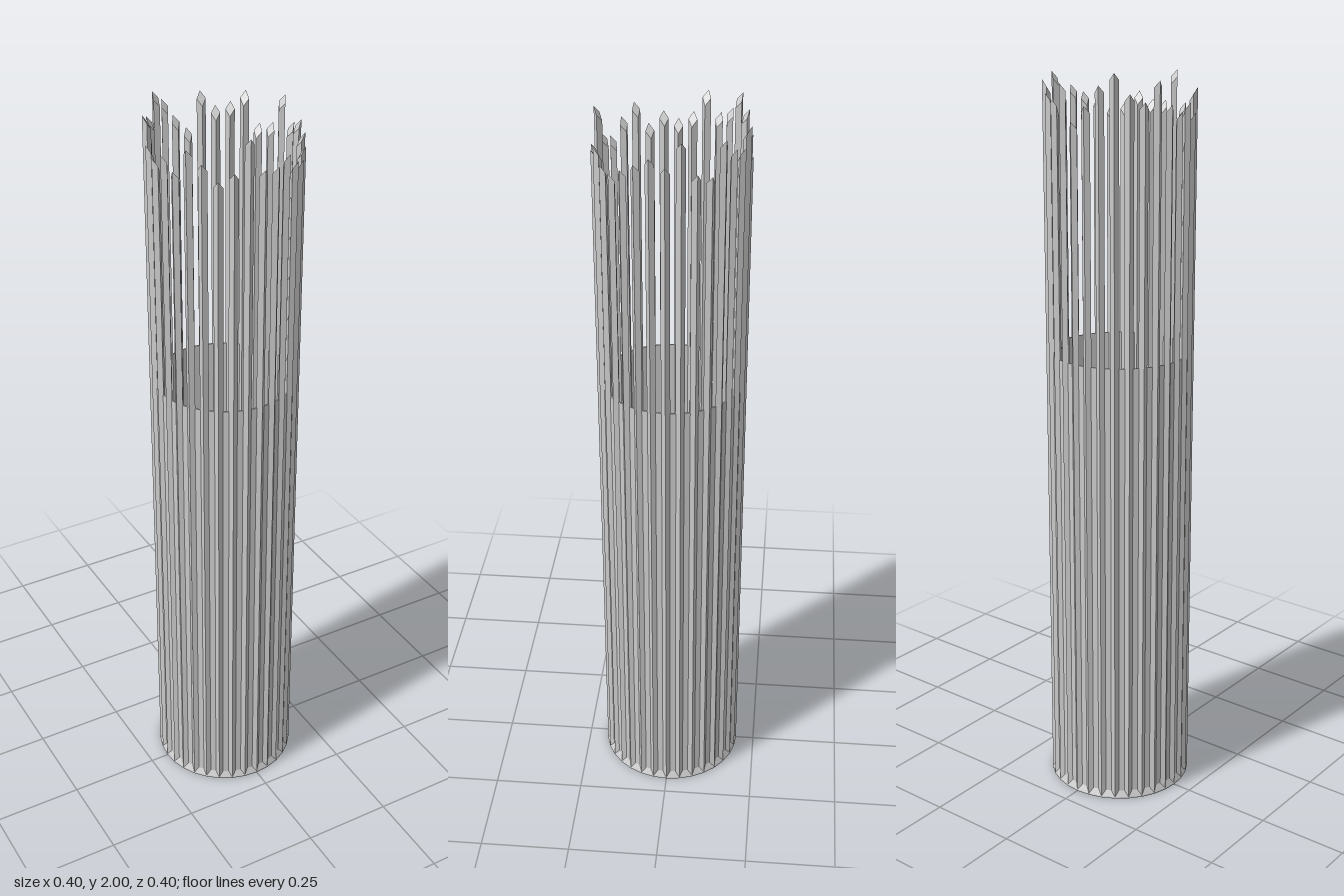
import * as THREE from 'three';

const material = new THREE.MeshStandardMaterial({ color: 0xcccccc, flatShading: true });
const BARS = 32;
const RADIUS = 0.187;
const HALF_DEPTH = 0.0105;
const HALF_WIDTH = 0.0118;
const TIP_DROP = 0.035;

// Height of each bar's outer point, from the front round towards +x
const HEIGHTS = [
  1.90, 1.90, 1.92, 1.89, 1.88, 1.90, 1.92, 1.94,
  1.92, 1.98, 1.90, 1.89, 1.97, 1.94, 1.93, 1.97,
  1.88, 1.92, 1.97, 2.00, 1.95, 1.93, 1.98, 1.92,
  1.90, 1.92, 1.89, 1.95, 1.92, 1.88, 1.90, 1.98,
];

// Closed faceted ring from an [r, y] section, corners lined up with the bars
function ring(name, section) {
  const points = [...section, section[0]].map(([r, y]) => new THREE.Vector2(r, y));
  const mesh = new THREE.Mesh(new THREE.LatheGeometry(points, BARS), material);
  mesh.name = name;
  return mesh;
}

// Diamond-section bar whose end is cut on a slope falling inwards
function bar(height) {
  const geometry = new THREE.CylinderGeometry(1, 1, height, 4);
  geometry.scale(HALF_WIDTH, 1, HALF_DEPTH);
  geometry.translate(0, height / 2, 0);
  const p = geometry.attributes.position;
  for (let i = 0; i < p.count; i++) {
    if (p.getY(i) > height / 2) {
      p.setY(i, height - TIP_DROP * (HALF_DEPTH - p.getZ(i)) / (2 * HALF_DEPTH));
    }
  }
  geometry.computeVertexNormals();
  return new THREE.Mesh(geometry, material);
}

export function createModel() {
  const model = new THREE.Group();
  model.name = 'barredTube';

  // Ridged foot ring
  model.add(ring('footRing', [
    [0.1975, 0], [0.1975, 0.004], [RADIUS, 0.025], [0.1765, 0.004], [0.1765, 0],
  ]));

  // Thin wall joining the lower part of the bars
  model.add(ring('tubeWall', [
    [RADIUS + 0.002, 0.002], [RADIUS + 0.002, 1.26], [RADIUS - 0.002, 1.26], [RADIUS - 0.002, 0.002],
  ]));

  // Bars of uneven height
  const bars = new THREE.Group();
  bars.name = 'bars';
  HEIGHTS.forEach((height, i) => {
    const angle = (i / BARS) * Math.PI * 2;
    const mesh = bar(height);
    mesh.name = `bar${i + 1}`;
    mesh.position.set(Math.sin(angle) * RADIUS, 0, Math.cos(angle) * RADIUS);
    mesh.rotation.y = angle;
    bars.add(mesh);
  });
  model.add(bars);

  return model;
}
